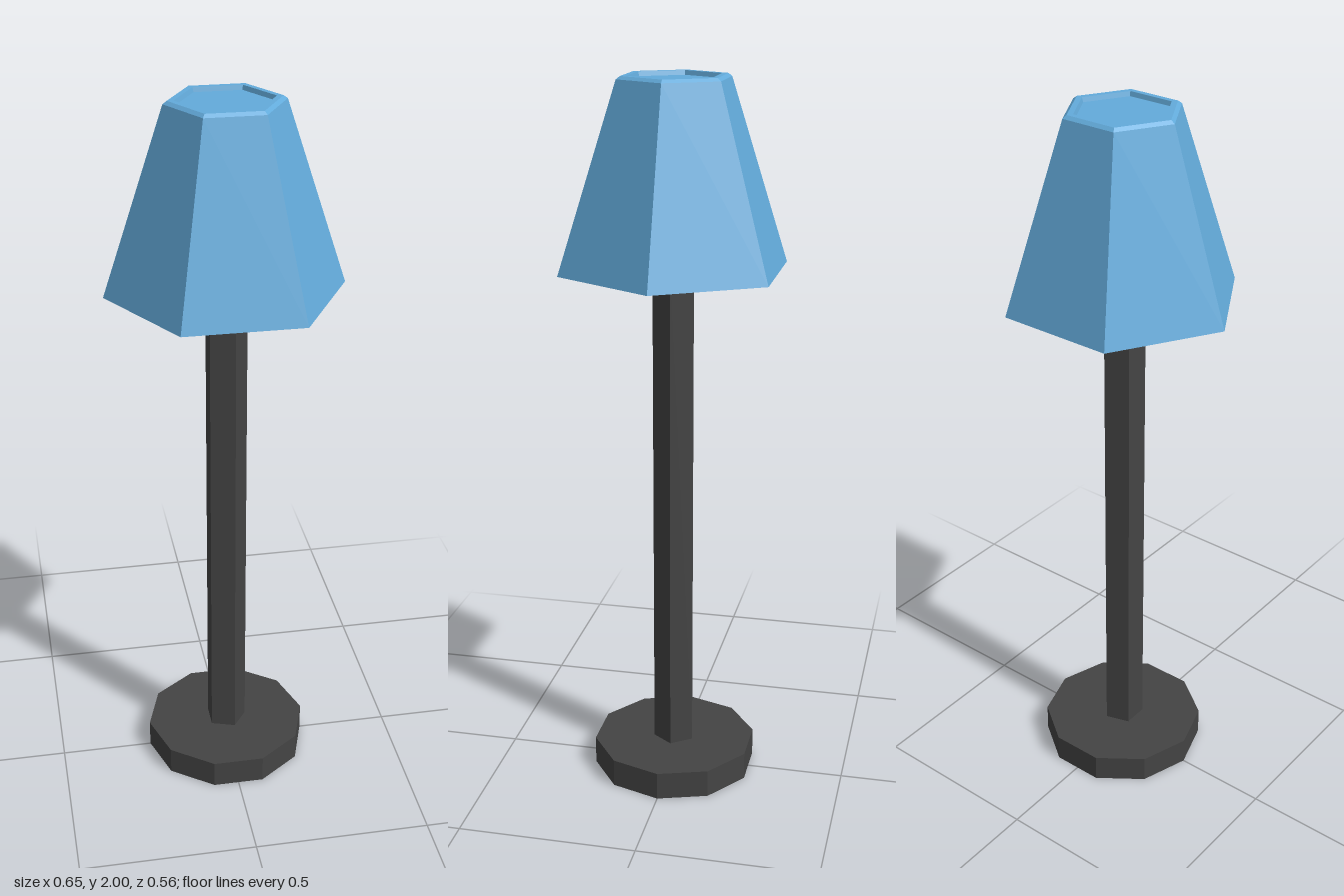
import * as THREE from 'three';

const blue = new THREE.MeshStandardMaterial({ color: 0x63abdb });
blue.name = 'shadeBlue';
const charcoal = new THREE.MeshStandardMaterial({ color: 0x444444 });
charcoal.name = 'charcoal';

// Faceted solid turned from a [radius, height] profile, with one corner on +x
function facetedPart(name, sides, profile, material) {
  const points = profile.map(([r, y]) => new THREE.Vector2(r, y));
  const geometry = new THREE.LatheGeometry(points, sides, Math.PI / 2).toNonIndexed();
  geometry.computeVertexNormals();
  const mesh = new THREE.Mesh(geometry, material);
  mesh.name = name;
  return mesh;
}

export function createModel() {
  const lamp = new THREE.Group();
  lamp.name = 'floorLamp';

  // Ten-sided foot
  lamp.add(facetedPart('base', 10, [[0, 0], [0.235, 0], [0.235, 0.08], [0, 0.08]], charcoal));

  // Five-sided pole, reaching just inside the foot and the shade
  lamp.add(facetedPart('pole', 5, [[0.06, 0.075], [0.06, 1.5]], charcoal));

  // Six-sided closed shade with a chamfered rim and a shallow recess on top
  lamp.add(facetedPart('shade', 6, [
    [0, 1.49], [0.324, 1.49],
    [0.158, 1.992], [0.147, 2],
    [0.13, 2], [0.126, 1.988], [0, 1.988],
  ], blue));

  return lamp;
}
